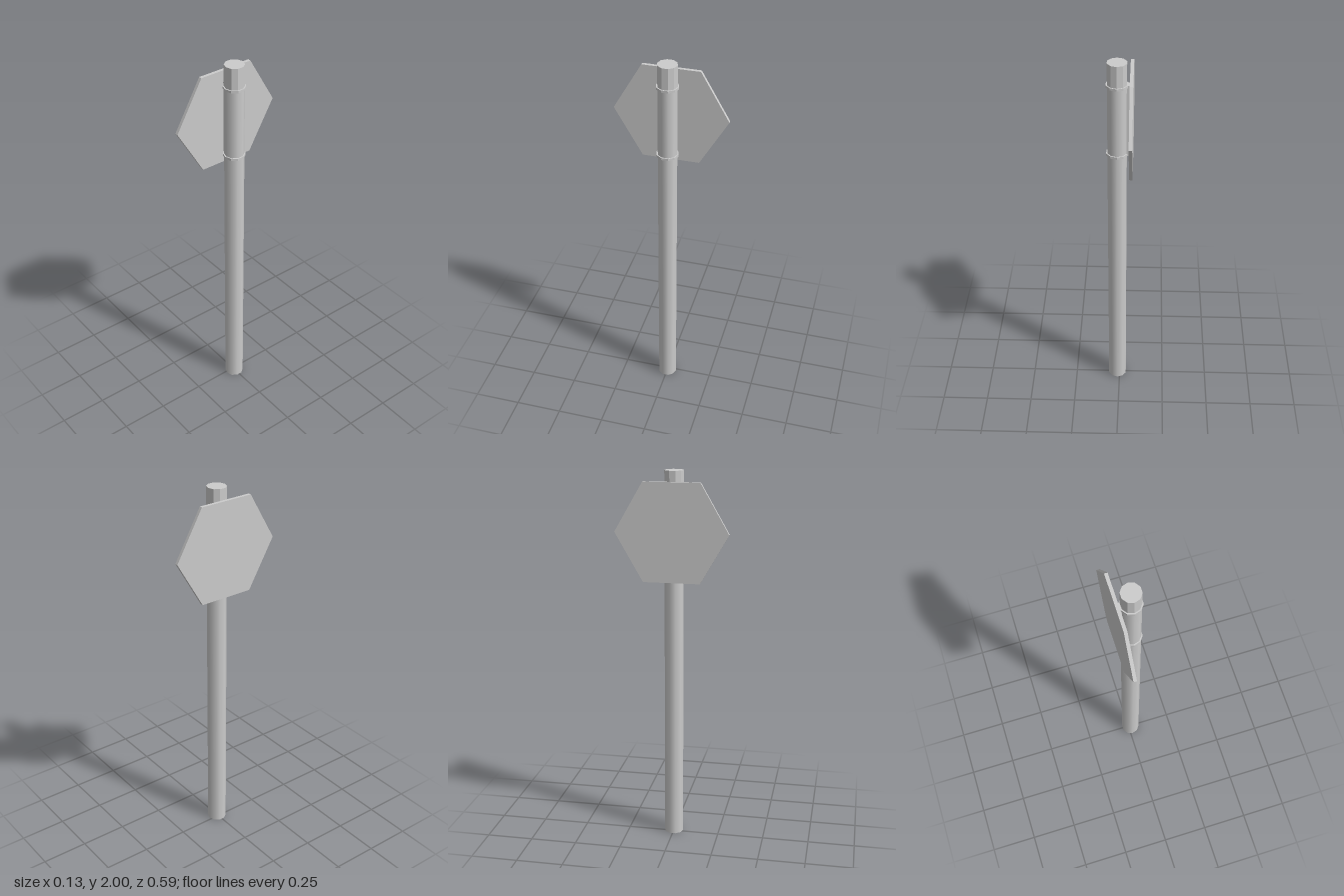
import * as THREE from 'three';

const POLE_X = 0.0125;
const SIDES = 10;

export function createModel() {
  const group = new THREE.Group();
  const smooth = new THREE.MeshStandardMaterial({ color: 0xcccccc });
  const flat = new THREE.MeshStandardMaterial({ color: 0xcccccc, flatShading: true });

  const add = (name, geometry, material, x, y) => {
    const mesh = new THREE.Mesh(geometry, material);
    mesh.name = name;
    mesh.position.set(x, y, 0);
    group.add(mesh);
    return mesh;
  };

  // Ten-sided post: smooth shaft with a faceted top end
  const poleRadius = 0.051;
  const shaftTop = 1.88;
  add('poleShaft', new THREE.CylinderGeometry(poleRadius, poleRadius, shaftTop, SIDES), smooth, POLE_X, shaftTop / 2);
  add('poleTop', new THREE.CylinderGeometry(poleRadius, poleRadius, 2 - shaftTop, SIDES), flat, POLE_X, (2 + shaftTop) / 2);

  // Clamp bands around the post
  for (const [name, y] of [['lowerClamp', 1.5], ['upperClamp', 1.88]]) {
    add(name, new THREE.CylinderGeometry(0.0573, 0.0573, 0.012, SIDES), flat, POLE_X, y);
  }

  // Upright rail joining the clamps to the sign
  add('mountingRail', new THREE.BoxGeometry(0.016, 0.392, 0.037), flat, -0.043, 1.69);

  // Hexagonal sign plate facing sideways
  const plate = new THREE.CylinderGeometry(0.297, 0.297, 0.017, 6).rotateZ(Math.PI / 2);
  add('signPlate', plate, flat, -0.0595, 1.69);

  return group;
}
